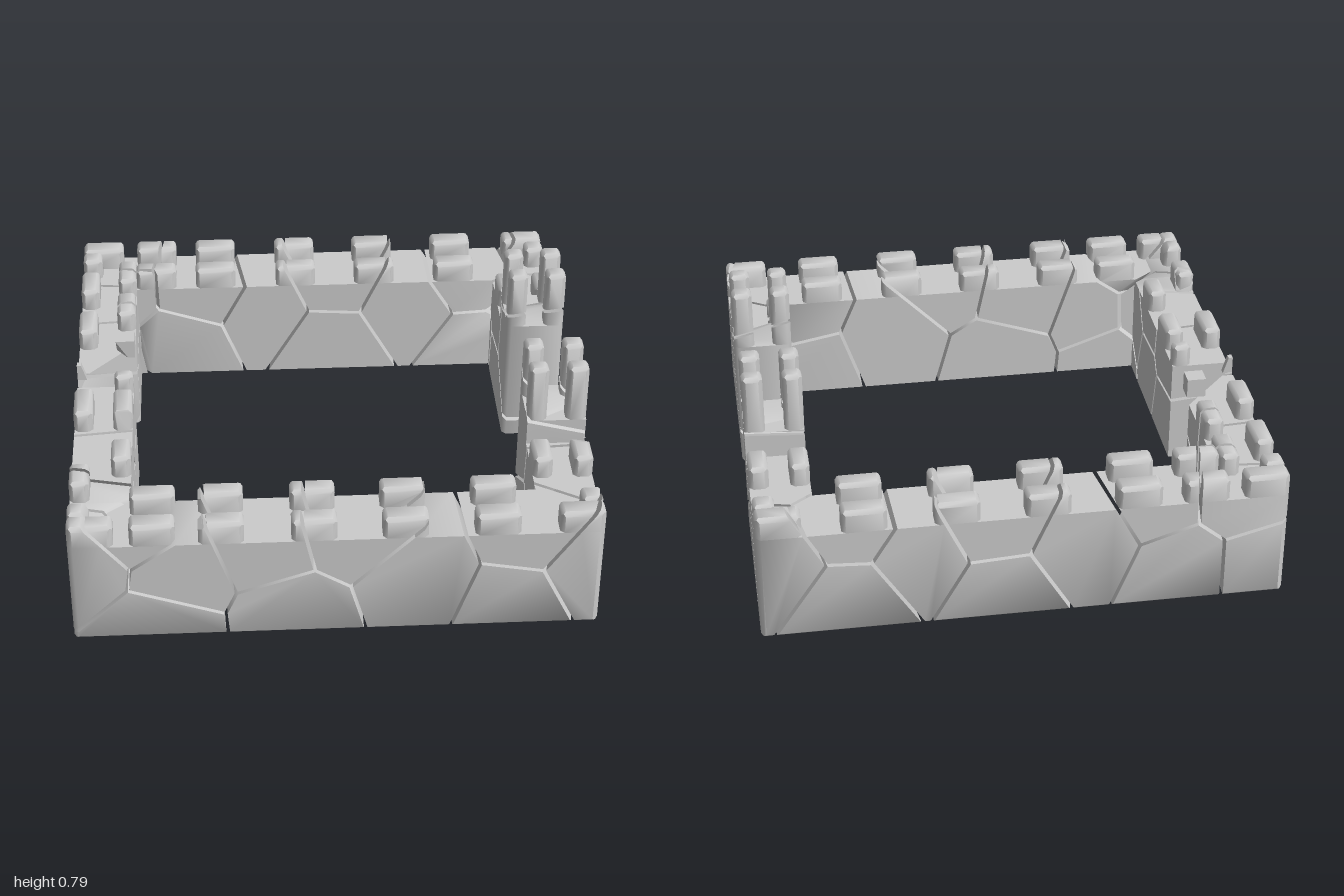
import * as THREE from 'three';
import { mergeGeometries, toCreasedNormals } from 'three/addons/utils/BufferGeometryUtils.js';

const V = (x, y, z) => new THREE.Vector3(x, y, z);
const FLOOR = 0.44, TOP = 0.53, GAP = 0.007, BEVEL = 0.016;

// Centres of the cracked stone chunks: [x, y, z]
const seeds = [
  // front wall
  [-0.68, 0.06, 0.9], [-0.95, 0.34, 0.9], [-0.75, 0.5, 0.9], [-0.6, 0.29, 0.9], [-0.27, 0.4, 0.88],
  [-0.17, 0.1, 0.88], [0.3, 0.23, 0.88], [0.06, 0.47, 0.9], [0.68, 0.1, 0.88], [0.74, 0.42, 0.85], [0.99, 0.25, 0.93],
  // back wall
  [-0.93, 0.15, -0.9], [-0.85, 0.45, -0.92], [-0.6, 0.15, -0.88], [-0.5, 0.45, -0.86], [-0.22, 0.3, -0.9],
  [0.08, 0.12, -0.86], [0.1, 0.44, -0.9], [0.4, 0.3, -0.86], [0.68, 0.12, -0.9], [0.66, 0.46, -0.87], [0.95, 0.3, -0.92],
  // gate side, front half
  [0.9, 0.08, 0.5], [0.88, 0.36, 0.62], [0.86, 0.4, 0.3], [0.94, 0.7, 0.44],
  // gate side, back half
  [0.9, 0.38, -0.28], [0.88, 0.42, -0.58], [0.9, 0.06, -0.52], [0.86, 0.72, -0.43],
  // breached side
  [-0.9, 0.12, 0.1], [-0.87, 0.42, 0.14], [-0.92, 0.2, 0.42], [-0.84, 0.46, 0.44], [-0.9, 0.3, 0.7],
  [-0.9, 0.1, -0.58], [-0.88, 0.44, -0.62], [-0.92, 0.2, -0.25], [-0.86, 0.46, -0.36],
].map((s) => V(...s));

// Rounded-off outer corners and foot, as planes [normal, distance]
const outerBevels = [
  ...[[1, 1], [1, -1], [-1, 1], [-1, -1]].map(([x, z]) => [V(x, 0, z), 2 - 0.02]),
  ...[[1, 0], [-1, 0], [0, 1], [0, -1]].map(([x, z]) => [V(x, -1, z), 1 - 0.008]),
];

// Convex solid as a list of outward faces
function boxFaces([x0, x1], [y0, y1], [z0, z1]) {
  const c = (i) => V(i & 1 ? x1 : x0, i & 2 ? y1 : y0, i & 4 ? z1 : z0);
  return [[0, 4, 6, 2], [1, 3, 7, 5], [0, 1, 5, 4], [2, 6, 7, 3], [0, 2, 3, 1], [4, 5, 7, 6]].map((f) => f.map(c));
}

const pushNew = (list, p) => {
  if (!list.some((q) => q.distanceToSquared(p) < 1e-10)) list.push(p);
};

// Keep the side of a convex solid where n.p <= d and close the cut
function clip(faces, [n, d]) {
  const side = (p) => n.dot(p) - d;
  if (!faces.some((f) => f.some((p) => side(p) > 1e-7))) return faces;
  const kept = [], cut = [];
  for (const face of faces) {
    const out = [];
    face.forEach((a, i) => {
      const b = face[(i + 1) % face.length], sa = side(a), sb = side(b);
      if (sa <= 1e-7) pushNew(out, a);
      if ((sa <= 1e-7) !== (sb <= 1e-7)) {
        const p = a.clone().lerp(b, sa / (sa - sb));
        pushNew(out, p);
        pushNew(cut, p);
      }
    });
    if (out.length > 2) kept.push(out);
  }
  if (cut.length > 2 && kept.length) {
    const mid = cut.reduce((s, p) => s.add(p), V(0, 0, 0)).divideScalar(cut.length);
    const u = cut[0].clone().sub(mid).normalize(), w = n.clone().normalize().cross(u);
    const angle = (p) => Math.atan2(p.clone().sub(mid).dot(w), p.clone().sub(mid).dot(u));
    kept.push(cut.sort((a, b) => angle(a) - angle(b)));
  }
  return kept;
}

function toGeometry(faces) {
  const points = [];
  for (const f of faces) for (let i = 1; i < f.length - 1; i++) points.push(f[0], f[i], f[i + 1]);
  const g = new THREE.BufferGeometry().setFromPoints(points);
  // normals are averaged at a larger scale so the narrow bevels stay distinct
  g.scale(100, 100, 100);
  return toCreasedNormals(g, 0.9).scale(0.01, 0.01, 0.01);
}

// Split a solid into the stone chunks with open cracks between them
function crack(faces) {
  const pieces = [];
  seeds.forEach((s, i) => {
    let piece = faces;
    seeds.forEach((t, j) => {
      if (i === j || !piece.length) return;
      const n = t.clone().sub(s).normalize();
      piece = clip(piece, [n, n.dot(s.clone().add(t).multiplyScalar(0.5)) - GAP]);
    });
    if (piece.length > 3) pieces.push(toGeometry(piece));
  });
  return pieces;
}

const wallBlock = (x, y, z, planes = []) =>
  crack([...outerBevels, ...planes].reduce(clip, boxFaces(x, y, z)));

// Block with bevelled top and upright edges
function merlon(x, y, z) {
  const planes = [];
  for (const s of [-1, 1]) {
    const ex = s > 0 ? x[1] : -x[0], ez = s > 0 ? z[1] : -z[0];
    planes.push([V(s, 1, 0), ex + y[1] - BEVEL], [V(0, 1, s), ez + y[1] - BEVEL]);
    for (const r of [-1, 1]) planes.push([V(s, 0, r), ex + (r > 0 ? z[1] : -z[0]) - BEVEL]);
  }
  return wallBlock(x, y, z, planes);
}

export function createModel() {
  const group = new THREE.Group();
  const material = new THREE.MeshStandardMaterial({ color: 0xcccccc });
  const add = (name, pieces) => {
    const mesh = new THREE.Mesh(mergeGeometries(pieces), material);
    mesh.name = name;
    group.add(mesh);
  };
  const span = (s, a, b) => (s > 0 ? [a, b] : [-b, -a]);
  const up = [FLOOR, TOP], body = [0, FLOOR];

  // Long walls with a double row of merlons and raised corners
  for (const s of [1, -1]) {
    const label = s > 0 ? 'front' : 'back';
    add(label + 'Wall', wallBlock([-1, 1], body, span(s, 0.735, 1)));
    const row = [];
    for (const x of [-0.77, -0.515, -0.17, 0.17, 0.515])
      for (const z of [[0.735, 0.82], [0.91, 1]]) row.push(...merlon([x, x + 0.17], up, span(s, ...z)));
    for (const side of [1, -1]) {
      row.push(...merlon(span(side, 0.83, 1), up, span(s, 0.91, 1)));
      row.push(...merlon(span(side, 0.92, 1), up, span(s, 0.83, 0.915)));
    }
    add(label + 'Merlons', row);

    // Gate side: short wall, tower and its four prongs
    add(label + 'GateWall', [
      ...wallBlock([0.77, 1], body, span(s, 0.445, 0.735)),
      ...merlon([0.77, 0.845], up, span(s, 0.52, 0.665)),
      ...merlon([0.925, 1], up, span(s, 0.52, 0.665)),
    ]);
    const gateBevels = [1, -1].map((r) => [V(r, 0, -s), (r > 0 ? 1 : -0.77) - 0.21 - BEVEL]);
    add(label + 'GateTower', wallBlock([0.77, 1], [0, 0.55], span(s, 0.21, 0.445), gateBevels));
    const prongs = [];
    for (const x of [[0.77, 0.845], [0.92, 1]])
      for (const z of [[0.21, 0.29], [0.37, 0.445]]) prongs.push(...merlon(x, [0.55, 0.79], span(s, ...z)));
    add(label + 'TowerProngs', prongs);
  }

  // Breached side: a square end facing a slanted broken end
  const breach = [[V(0.25, 0, 0.23), -0.266], [V(0.25, -0.07, 0.23), -0.28]];
  add('breachedWallFront', wallBlock([-1, -0.77], body, [-0.02, 0.735]));
  add('breachedWallBack', wallBlock([-1, -0.77], body, [-0.735, -0.05], breach));
  const outer = [[-0.76, -0.59], [-0.46, -0.29], [0.1, 0.28], [0.59, 0.73]];
  const inner = [[-0.84, -0.67], [-0.59, -0.42], [-0.02, 0.04], [0.11, 0.28], [0.44, 0.58]];
  add('breachedWallMerlons', [
    ...outer.flatMap((z) => merlon([-1, -0.925], up, z)),
    ...inner.flatMap((z) => merlon([-0.845, -0.77], up, z)),
  ]);

  // Loose splinters left hanging at the breach
  const splinter = [[V(-1, -0.6, 0.8), 0.36], [V(0.3, -1, 0.8), -0.84]].reduce(clip, boxFaces([-0.845, -0.77], [0.45, TOP], [-0.28, -0.21]));
  const spike = clip(boxFaces([-1, -0.96], [FLOOR, 0.51], [-0.1, -0.075]), [V(1, 0.3, 0), -0.83]);
  add('breachSplinters', [splinter, spike].filter((f) => f.length > 3).map(toGeometry));
  return group;
}
